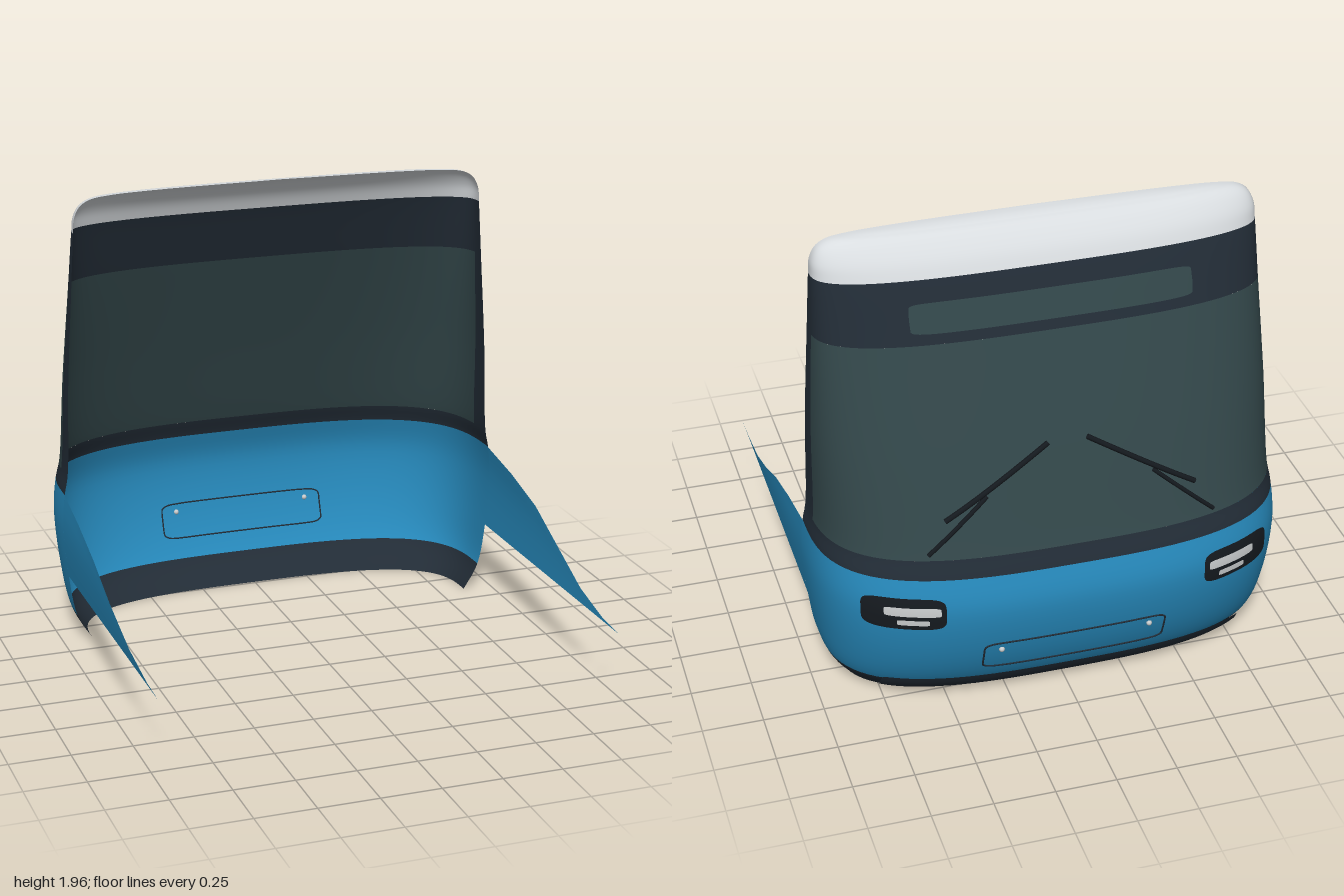
import * as THREE from 'three';

const BACK = -0.36; // plane of the open end
// Profile of the nose: half width, height, nose reach along -z
const PROFILE = [
  [0.87, 0, 0.76], [0.935, 0.115, 0.875], [0.968, 0.3, 0.962], [0.985, 0.53, 1.0],
  [0.975, 0.67, 0.967], [0.96, 0.75, 0.935], [0.945, 1.15, 0.795], [0.92, 1.56, 0.645],
  [0.905, 1.8, 0.555], [0.9, 1.86, 0.525], [0.875, 1.91, 0.485], [0.83, 1.937, 0.455],
  [0.75, 1.949, 0.43], [0.55, 1.957, 0.405], [0, 1.962, 0.36],
];
const curve = new THREE.CatmullRomCurve3(PROFILE.map(p => new THREE.Vector3(...p)));

// Profile parameter at a height
function vAt(y) {
  let lo = 0, hi = 1;
  for (let i = 0; i < 28; i++) {
    const m = (lo + hi) / 2;
    if (curve.getPoint(m).y < y) lo = m; else hi = m;
  }
  return (lo + hi) / 2;
}

// Shell point: t runs from the +x edge (0) round the nose to the -x edge (PI)
function shell(t, v) {
  const p = curve.getPoint(THREE.MathUtils.clamp(v, 0, 1));
  const c = Math.cos(t), s = Math.sin(t);
  const r = 1 / Math.cbrt(Math.abs(c) ** 3 + Math.abs(s) ** 3);
  return new THREE.Vector3(p.x * c * r, p.y, BACK - (p.z + BACK) * s * r);
}

function normalAt(t, v) {
  const e = 0.004;
  const dt = shell(t + e, v).sub(shell(t - e, v));
  const dv = shell(t, v + e).sub(shell(t, v - e));
  const n = dt.cross(dv);
  return n.length() < 1e-9 ? new THREE.Vector3(0, 1, 0) : n.normalize();
}

// Angle and profile parameter above a front position
function locate(x, y) {
  const v = vAt(y);
  const k = THREE.MathUtils.clamp(x / curve.getPoint(v).x, -1, 1);
  return [Math.atan2(Math.cbrt(1 - Math.abs(k) ** 3), k), v];
}

function onShell(x, y, off) {
  const [t, v] = locate(x, y);
  return shell(t, v).addScaledVector(normalAt(t, v), off);
}

// Grid of surface points; at(i, j) gives [t, v]
function grid(nu, nv, at, off = 0) {
  const pos = [], nor = [], idx = [];
  for (let j = 0; j <= nv; j++) for (let i = 0; i <= nu; i++) {
    const [t, v] = at(i / nu, j / nv);
    const n = normalAt(t, v);
    pos.push(...shell(t, v).addScaledVector(n, off).toArray());
    nor.push(...n.toArray());
    if (i < nu && j < nv) {
      const a = j * (nu + 1) + i, b = a + nu + 1;
      idx.push(a, a + 1, b, a + 1, b + 1, b);
    }
  }
  const g = new THREE.BufferGeometry();
  g.setAttribute('position', new THREE.Float32BufferAttribute(pos, 3));
  g.setAttribute('normal', new THREE.Float32BufferAttribute(nor, 3));
  g.setIndex(idx);
  return g;
}

export function createModel() {
  const model = new THREE.Group();
  model.name = 'trainNose';
  const mat = (name, color) => {
    const m = new THREE.MeshStandardMaterial({ color, side: THREE.DoubleSide });
    m.name = name;
    return m;
  };
  const blue = mat('bluePaint', 0x2688ba);
  const dark = mat('darkTrim', 0x222c36);
  const glass = mat('tintedGlass', 0x324649);
  const white = mat('roofWhite', 0xd8dcdf);
  const black = mat('blackRubber', 0x151a1f);
  const lamp = mat('lampGrey', 0xc9cccd);

  const add = (name, geo, m) => {
    const mesh = new THREE.Mesh(geo, m);
    mesh.name = name;
    model.add(mesh);
  };

  // Bands of the shell
  const band = (name, y0, y1, t0, t1, nu, nv, m) => {
    const a = vAt(y0), b = y1 > 1.96 ? 1 : vAt(y1);
    add(name, grid(nu, nv, (u, w) => [t0 + (t1 - t0) * u, a + (b - a) * w]), m);
  };
  const P = Math.PI, pillar = 0.21;
  band('skirt', 0, 0.115, 0, P, 64, 5, dark);
  band('bluePanel', 0.115, 0.67, 0, P, 64, 16, blue);
  band('sillBand', 0.67, 0.745, 0, P, 64, 3, dark);
  band('windscreen', 0.745, 1.56, pillar, P - pillar, 60, 14, glass);
  band('leftPillar', 0.745, 1.56, 0, pillar, 5, 14, dark);
  band('rightPillar', 0.745, 1.56, P - pillar, P, 5, 14, dark);
  band('headerBand', 1.56, 1.8, 0, P, 64, 6, dark);
  band('roof', 1.8, 2, 0, P, 64, 28, white);

  // Rounded thin plate laid on the shell
  const plate = (name, x, y, hw, hh, off, m, power = 5) => add(name,
    grid(36, 5, (u, w) => {
      const k = -Math.cos(u * P);
      const h = hh * Math.pow(Math.max(0, 1 - Math.abs(k) ** power), 1 / power);
      return locate(x - k * hw, y + (2 * w - 1) * h);
    }, off), m);

  // Destination display and bumper lip
  plate('displaySurround', 0, 1.655, 0.62, 0.085, 0.01, dark, 12);
  plate('displayGlass', 0, 1.66, 0.57, 0.058, 0.016, glass, 12);
  plate('bumperLip', 0, 0.105, 0.76, 0.047, 0.012, dark, 20);

  const tube = (name, pts, r, m, closed = false) => {
    const path = new THREE.CatmullRomCurve3(pts, closed);
    add(name, new THREE.TubeGeometry(path, pts.length * 3, r, 6, closed), m);
  };
  const line = (x0, y0, x1, y1, off) => Array.from({ length: 7 }, (_, i) =>
    onShell(x0 + (x1 - x0) * i / 6, y0 + (y1 - y0) * i / 6, off));

  for (const s of [1, -1]) {
    const side = s > 0 ? 'left' : 'right';
    // Headlight cluster
    plate(side + 'HeadlightHousing', s * 0.69, 0.53, 0.155, 0.07, 0.008, black);
    plate(side + 'UpperLamp', s * 0.66, 0.545, 0.105, 0.019, 0.014, lamp, 8);
    plate(side + 'LowerLamp', s * 0.66, 0.497, 0.06, 0.012, 0.014, lamp, 8);
    // Wiper blade and arm
    tube(side + 'WiperBlade', line(s * 0.08, 1.15, s * 0.51, 0.9, 0.022), 0.011, black);
    tube(side + 'WiperArm', line(s * 0.34, 0.98, s * 0.585, 0.77, 0.018), 0.009, black);
    // Hatch fastener
    const bolt = new THREE.SphereGeometry(0.012, 10, 8);
    bolt.translate(...onShell(s * 0.31, 0.31, 0.002).toArray());
    add(side + 'HatchBolt', bolt, lamp);

    // Tapering side panel: z and top height along its length
    const top = [[BACK, 0.667], [-0.107, 0.62], [0.14, 0.555], [0.375, 0.455],
      [0.63, 0.357], [0.86, 0.31], [1, 0.301]];
    const pos = [], idx = [], rows = 6;
    top.forEach(([z, y1], i) => {
      for (let j = 0; j <= rows; j++) {
        const y = 0.3 + (y1 - 0.3) * j / rows;
        pos.push(s * curve.getPoint(vAt(y)).x, y, z);
        if (i < top.length - 1 && j < rows) {
          const a = i * (rows + 1) + j, b = a + rows + 1;
          if (s > 0) idx.push(a, a + 1, b, a + 1, b + 1, b);
          else idx.push(a, b, a + 1, a + 1, b, b + 1);
        }
      }
    });
    const fin = new THREE.BufferGeometry();
    fin.setAttribute('position', new THREE.Float32BufferAttribute(pos, 3));
    fin.setIndex(idx);
    fin.computeVertexNormals();
    add(side + 'SidePanel', fin, blue);
  }

  // Outline of the coupler hatch
  const loop = Array.from({ length: 48 }, (_, i) => {
    const a = i / 48 * P * 2, c = Math.cos(a), s = Math.sin(a);
    const r = Math.pow(c ** 10 + s ** 10, -0.1);
    return onShell(0.38 * c * r, 0.272 + 0.075 * s * r, 0.001);
  });
  tube('hatchOutline', loop, 0.004, dark, true);
  return model;
}
